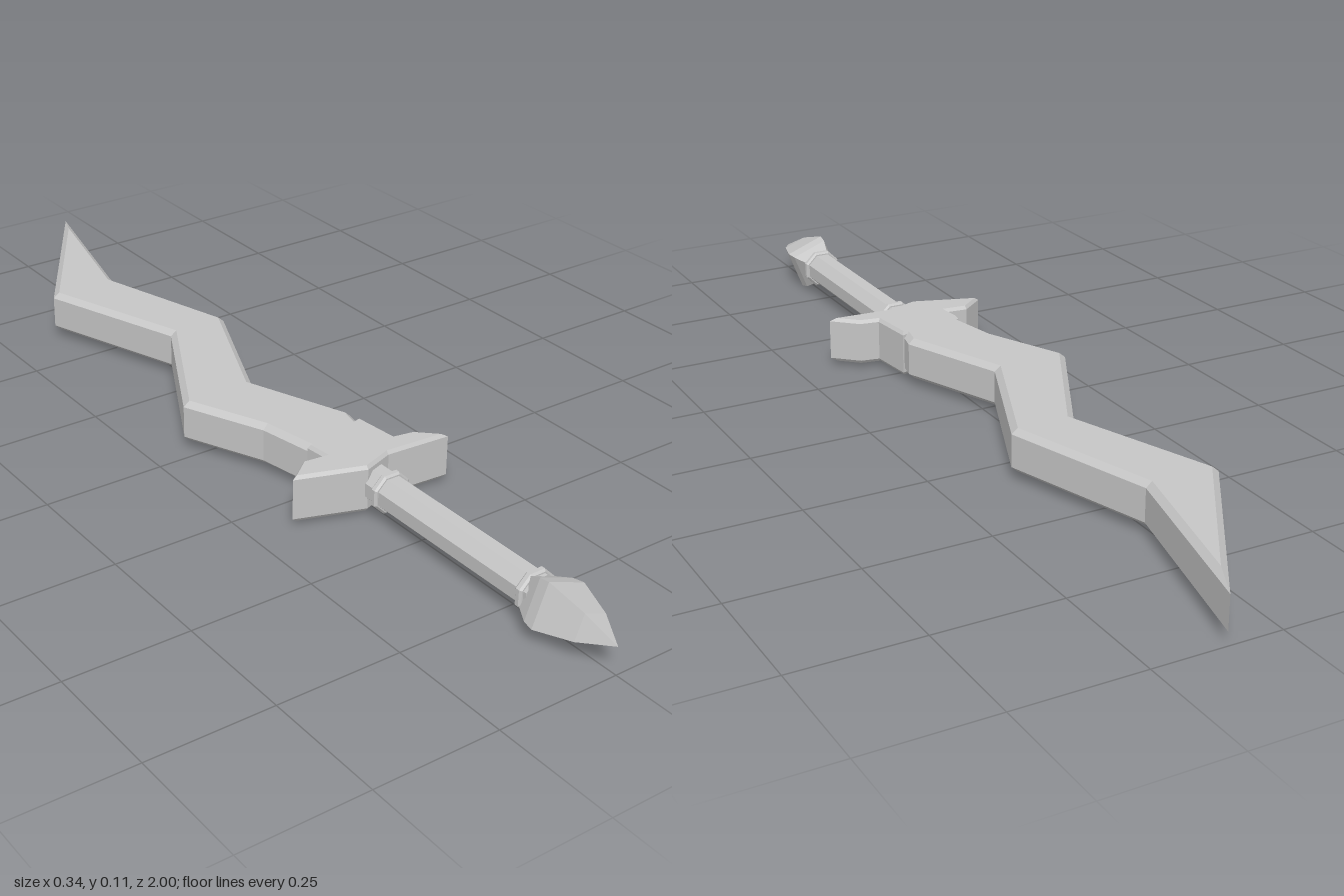
import * as THREE from 'three';

const steel = new THREE.MeshStandardMaterial({ color: 0xc6c6c6 });
const AXIS_X = -0.002;
const AXIS_Y = 0.058;

function faceted(name, geometry) {
  const flat = geometry.toNonIndexed();
  flat.computeVertexNormals();
  const mesh = new THREE.Mesh(flat, steel);
  mesh.name = name;
  return mesh;
}

// Flat slab from a counterclockwise [x, z] outline (seen from above), with mitred chamfers top and bottom
function chamferedSlab(name, outline, bottom, top, drop, inset) {
  const outer = outline.map(([x, z]) => new THREE.Vector2(x, -z));
  const n = outer.length;
  const inwardNormal = (a, b) => new THREE.Vector2(a.y - b.y, b.x - a.x).normalize();
  const inner = outer.map((p, i) => {
    const n1 = inwardNormal(outer[(i + n - 1) % n], p);
    const n2 = inwardNormal(p, outer[(i + 1) % n]);
    const scale = inset / (1 + n1.dot(n2));
    return p.clone().addScaledVector(n1.add(n2), scale);
  });
  const rings = [[inner, bottom], [outer, bottom + drop], [outer, top - drop], [inner, top]];
  const positions = rings.flatMap(([ring, y]) => ring.flatMap((p) => [p.x, y, -p.y]));
  const index = [];
  for (let r = 0; r < 3; r++) {
    for (let i = 0; i < n; i++) {
      const a = r * n + i, b = r * n + (i + 1) % n;
      index.push(a, b, b + n, a, b + n, a + n);
    }
  }
  for (const [a, b, c] of THREE.ShapeUtils.triangulateShape(inner, [])) {
    index.push(a + 3 * n, b + 3 * n, c + 3 * n, c, b, a);
  }
  const geometry = new THREE.BufferGeometry();
  geometry.setAttribute('position', new THREE.Float32BufferAttribute(positions, 3));
  geometry.setIndex(index);
  return faceted(name, geometry);
}

// Faceted turned part along z from [radius, z] pairs
function turned(name, profile, sides, startAngle) {
  const points = profile.map(([r, z]) => new THREE.Vector2(r, z));
  const geometry = new THREE.LatheGeometry(points, sides, startAngle);
  geometry.rotateX(Math.PI / 2).translate(AXIS_X, AXIS_Y, 0);
  return faceted(name, geometry);
}

export function createModel() {
  const sword = new THREE.Group();
  sword.name = 'waveSword';

  // Zigzag blade, its root buried in the guard
  sword.add(chamferedSlab('blade', [
    [0.108, -1], [-0.132, -0.627], [-0.022, -0.318], [-0.171, -0.035],
    [-0.096, 0.132], [-0.073, 0.25], [-0.055, 0.3],
    [0.055, 0.3], [0.068, 0.215], [0.076, 0.178],
    [-0.008, -0.037], [0.111, -0.318], [0.018, -0.625],
  ], 0.016, 0.104, 0.011, 0.012));

  // Winged crossguard, slightly thicker than the blade
  sword.add(chamferedSlab('guard', [
    [0.072, 0.213], [-0.075, 0.246], [-0.07, 0.293], [-0.117, 0.288], [-0.167, 0.328],
    [-0.03, 0.375], [0.035, 0.352], [0.171, 0.361], [0.122, 0.315], [0.082, 0.308],
  ], 0.01, 0.107, 0.007, 0.005));

  // Octagonal grip with a collar at each end
  sword.add(turned('grip', [[0, 0.33], [0.036, 0.33], [0.036, 0.815], [0, 0.815]], 8, Math.PI / 8));
  for (const [name, z] of [['pommelCollar', 0.8], ['guardCollar', 0.405]]) {
    sword.add(turned(name, [
      [0, z - 0.008], [0.039, z - 0.008], [0.043, z - 0.004],
      [0.043, z + 0.004], [0.039, z + 0.008], [0, z + 0.008],
    ], 8, Math.PI / 8));
  }

  // Four-sided pointed pommel, turned a little about its axis
  sword.add(turned('pommel', [
    [0, 0.803], [0.04, 0.803], [0.058, 0.835], [0.0625, 0.858], [0.037, 0.935], [0, 1],
  ], 4, THREE.MathUtils.degToRad(114)));

  return sword;
}
